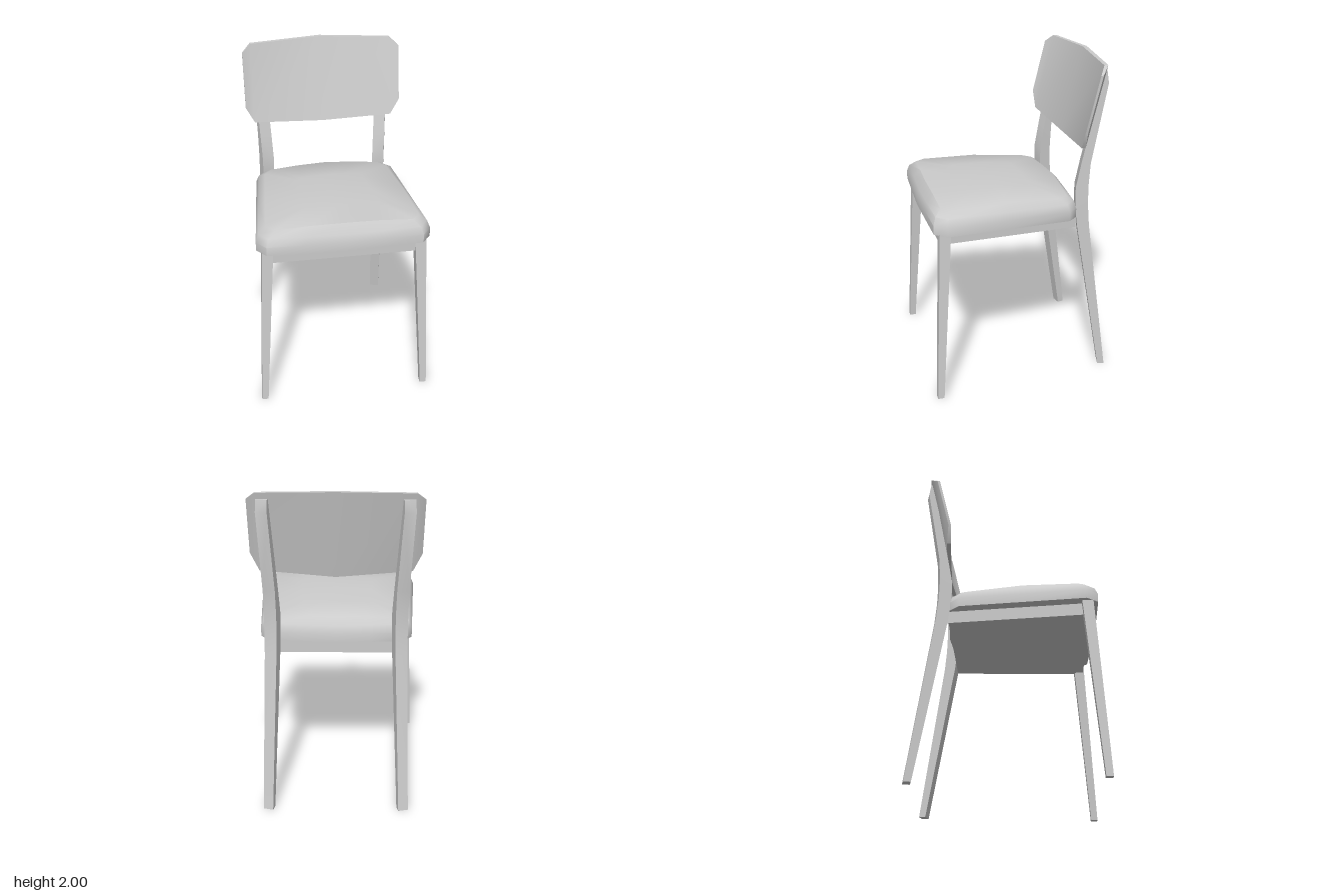
import * as THREE from 'three';
import { toCreasedNormals } from 'three/addons/utils/BufferGeometryUtils.js';

const material = new THREE.MeshStandardMaterial({ color: 0xcccccc });

// Skin a list of equal-length rings of [x, y, z] and close both ends with fans.
function loft(rings, crease, endCentre) {
  const n = rings[0].length;
  const points = rings.flat();
  const faces = [];
  for (let r = 0; r < rings.length - 1; r++) {
    for (let i = 0; i < n; i++) {
      const a = r * n + i, b = r * n + (i + 1) % n;
      faces.push([a, b, b + n], [a, b + n, a + n]);
    }
  }
  const mean = (ring) => [0, 1, 2].map((k) => ring.reduce((s, p) => s + p[k], 0) / n);
  const last = (rings.length - 1) * n;
  const c0 = points.push(mean(rings[0])) - 1;
  const c1 = points.push(endCentre || mean(rings[rings.length - 1])) - 1;
  for (let i = 0; i < n; i++) {
    const j = (i + 1) % n;
    faces.push([c0, j, i], [c1, last + i, last + j]);
  }
  // Turn the faces outward if the enclosed volume comes out negative.
  const v = points.map((p) => new THREE.Vector3(...p));
  const volume = faces.reduce((s, [a, b, c]) => s + v[a].dot(v[b].clone().cross(v[c])), 0);
  if (volume < 0) faces.forEach((f) => f.reverse());
  const geometry = new THREE.BufferGeometry();
  geometry.setAttribute('position', new THREE.Float32BufferAttribute(points.flat(), 3));
  geometry.setIndex(faces.flat());
  return toCreasedNormals(geometry, crease);
}

function createModel() {
  const chair = new THREE.Group();
  chair.name = 'chair';
  const add = (name, geometry) => {
    const mesh = new THREE.Mesh(geometry, material);
    mesh.name = name;
    chair.add(mesh);
  };

  // Seat cushion: chamfered outline, rolled edge and a gently domed top
  const half = [[0, 0.56], [0.23, 0.553], [0.46, 0.545], [0.515, 0.475], [0.485, 0.1],
    [0.455, -0.28], [0.4, -0.342], [0.2, -0.357], [0, -0.37]];
  const outline = [...half, ...half.slice(1, -1).reverse().map(([x, z]) => [-x, z])];
  const underside = (z) => 1.066 + 0.022 * z;
  const dome = (x, z) => 1.24 - 0.13 * x * x - (z < 0.14 ? 0.085 * (0.14 - z) : 0.02 * (z - 0.14));
  const ring = (scale, height) => outline.map(([px, pz]) => {
    const x = px * scale, z = 0.1 + (pz - 0.1) * scale;
    return [x, height(x, z), z];
  });
  add('seatCushion', loft([
    ring(1, (x, z) => underside(z)),
    ring(1, (x, z) => underside(z) + 0.055),
    ring(0.965, (x, z) => underside(z) + 0.1),
    ring(0.88, dome),
    ring(0.45, dome),
  ], 0.85, [0, 1.24, 0.1]));

  // Seat frame under the cushion
  const plate = [[-0.45, 0.51], [0.45, 0.51], [0.385, -0.345], [-0.385, -0.345]];
  add('seatFrame', loft([0, 0.08].map((h) =>
    plate.map(([x, z]) => [x, underside(z) - 0.075 + h, z])), 0.3));

  // Backrest: slanted panel, bent in plan; columns are [x, bottom, top, bend, thickness]
  const columns = [[0, 1.48, 2, 0, 0.027], [0.44, 1.507, 1.985, 0.034, 0.024],
    [0.493, 1.61, 1.94, 0.06, 0.015]];
  const allColumns = [...columns.slice(1).reverse().map(([x, ...c]) => [-x, ...c]), ...columns];
  add('backrest', loft(allColumns.map(([x, low, high, bend, thick]) => {
    const front = (y) => -0.37 - 0.24 * (y - 1.48) + bend;
    return [[x, low, front(low)], [x, high, front(high)],
      [x, high, front(high) - thick], [x, low, front(low) - thick]];
  }), 0.6));

  // Rear leg stations: [y, backward shift, depth, width]
  const rearStations = [[0, 0.17, 0.042, 0.062], [1, 0.015, 0.073, 0.073], [1.13, 0.002, 0.077, 0.075],
    [1.25, 0, 0.075, 0.075], [1.4, 0.018, 0.055, 0.074], [1.88, 0.108, 0.04, 0.068], [1.95, 0.108, 0.018, 0.066]];
  for (const side of [1, -1]) {
    const label = side > 0 ? 'Left' : 'Right';

    // Front leg: square post, splayed and tapering to the floor
    const post = [[0.515, 0.55, 0.04, 0], [0.452, 0.482, 0.066, 1.085]];
    add('frontLeg' + label, loft(post.map(([x, z, w, y]) =>
      [[-1, -1], [1, -1], [1, 1], [-1, 1]].map(([i, j]) =>
        [side * (x + i * w / 2), y, z + j * w / 2])), 0.3));

    // Rear leg: bent post turned outward, rising behind the backrest
    const c = Math.cos(0.24), s = Math.sin(0.24);
    add('rearLeg' + label, loft(rearStations.map(([y, shift, depth, width]) =>
      [[-1, -1], [1, -1], [1, 1], [-1, 1]].map(([i, j]) => {
        const u = i * width / 2, d = shift + j * depth / 2;
        return [side * (0.375 + u * c + d * s), y, -0.375 + u * s - d * c];
      })), 0.4));
  }
  return chair;
}

export { createModel };
